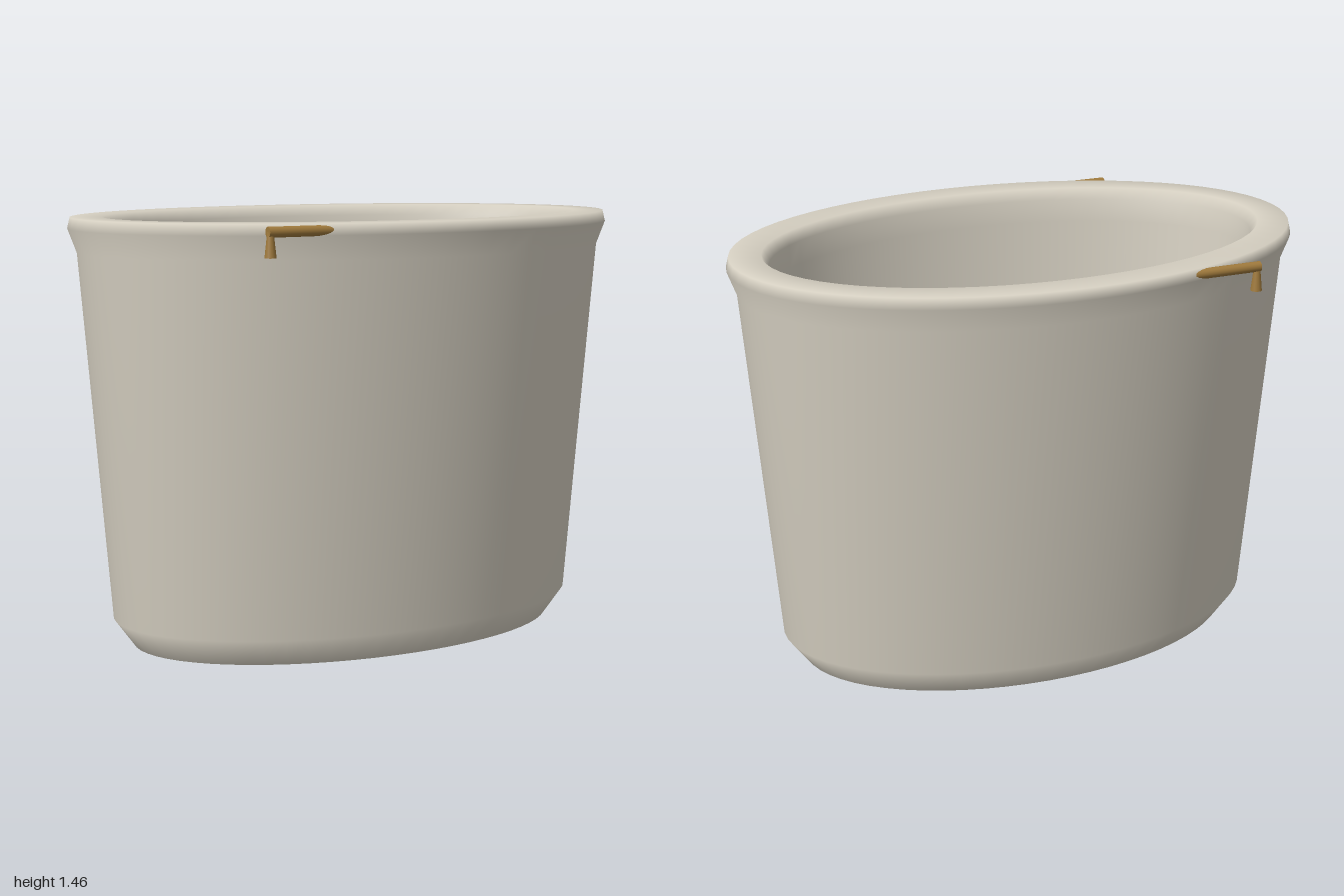
import * as THREE from 'three';

const SEG = 64;
const cream = new THREE.MeshStandardMaterial({ color: 0xd6d0c2 });
const brass = new THREE.MeshStandardMaterial({ color: 0xa07a3c });

// Smooth surface through elliptical rings [radiusX, radiusZ, y]
function loft(rings) {
  const pos = [], idx = [];
  rings.forEach(([rx, rz, y], r) => {
    for (let i = 0; i < SEG; i++) {
      const a = (i / SEG) * Math.PI * 2;
      pos.push(rx * Math.cos(a), y, rz * Math.sin(a));
      if (r === 0) continue;
      const j = (i + 1) % SEG, lo = (r - 1) * SEG, hi = r * SEG;
      idx.push(lo + i, hi + i, lo + j, lo + j, hi + i, hi + j);
    }
  });
  const g = new THREE.BufferGeometry();
  g.setAttribute('position', new THREE.Float32BufferAttribute(pos, 3));
  g.setIndex(idx);
  g.computeVertexNormals();
  return g;
}

// Flat horizontal ellipse
function disc(rx, rz, y, up) {
  return new THREE.CircleGeometry(1, SEG).rotateX(up ? -Math.PI / 2 : Math.PI / 2)
    .scale(rx, 1, rz).translate(0, y, 0);
}

export function createModel() {
  const model = new THREE.Group();
  const add = (name, geometry, material, parent = model) => {
    const mesh = new THREE.Mesh(geometry, material);
    mesh.name = name;
    parent.add(mesh);
    return mesh;
  };

  // Tub wall: tapered outside, flared rim, inside back down to the floor
  add('tubWall', loft([
    [0.795, 0.475, 0],
    [0.865, 0.535, 0.095],
    [0.967, 0.628, 1.34],
    [0.997, 0.658, 1.42],
    [0.988, 0.65, 1.457],
    [0.88, 0.545, 1.457],
    [0.857, 0.52, 1.42],
    [0.855, 0.517, 1.34],
    [0.745, 0.38, 0.12],
  ]), cream);
  add('tubBase', disc(0.795, 0.475, 0, false), cream);
  add('tubFloor', disc(0.746, 0.381, 0.12, true), cream);

  // Seat block: end segment of an ellipse, cut straight at the front
  const cut = Math.acos(-0.19 / 0.805);
  const shape = new THREE.Shape();
  shape.absellipse(0, 0, 0.805, 0.448, cut, Math.PI * 2 - cut, false);
  shape.closePath();
  const seat = new THREE.ExtrudeGeometry(shape, { depth: 0.62, bevelEnabled: false, curveSegments: 32 });
  add('seat', seat.rotateX(-Math.PI / 2).translate(0, 0.1, 0), cream);

  // Drain plug
  add('drain', new THREE.CylinderGeometry(0.036, 0.036, 0.03, 24).translate(0.405, 0.12, 0), brass);

  // Tap on each long side: a bar running into the rim, with a flared spout
  for (const [name, z] of [['frontTap', 0.587], ['backTap', -0.592]]) {
    const tap = new THREE.Group();
    tap.name = name;
    tap.position.set(-0.6, 1.435, z);
    add('tapBar', new THREE.CylinderGeometry(0.017, 0.017, 0.24, 16)
      .rotateZ(Math.PI / 2).translate(0.115, 0, 0), brass, tap);
    add('tapSpout', new THREE.CylinderGeometry(0.01, 0.019, 0.08, 16)
      .translate(0.004, -0.04, 0), brass, tap);
    model.add(tap);
  }
  return model;
}
